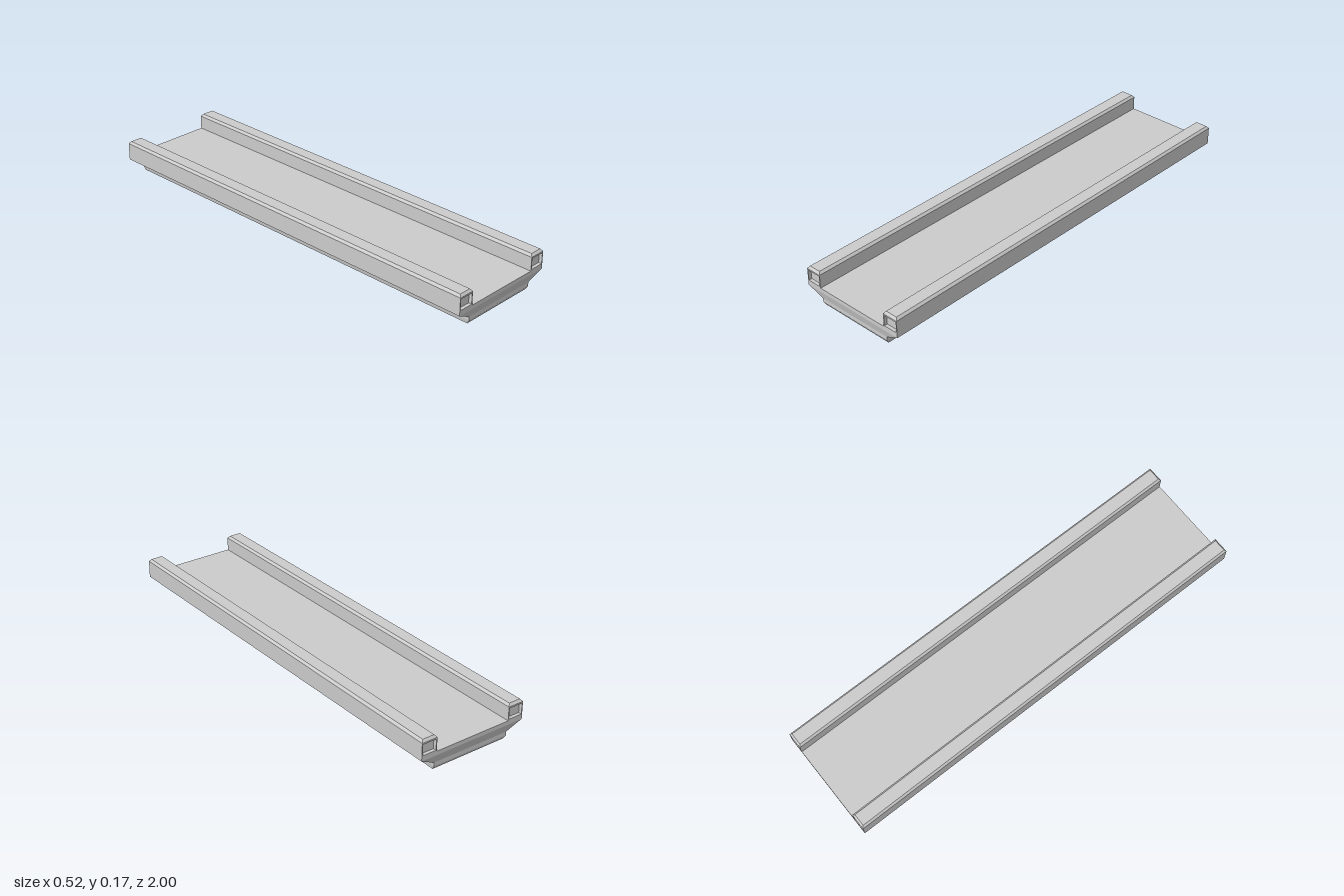
import * as THREE from 'three';

const material = new THREE.MeshStandardMaterial({ color: 0xcccccc, flatShading: true });

function add(parent, geometry, name) {
  const mesh = new THREE.Mesh(geometry, material);
  mesh.name = name;
  parent.add(mesh);
  return mesh;
}

// Solid stacked from rectangles, each given as [half width, half depth, height]
function stack(levels) {
  const rings = levels.map(([w, d, y]) => [[w, y, d], [w, y, -d], [-w, y, -d], [-w, y, d]]);
  const pos = [];
  const quad = (a, b, c, d) => pos.push(...a, ...b, ...c, ...a, ...c, ...d);
  for (let k = 0; k < rings.length - 1; k++) {
    for (let i = 0; i < 4; i++) {
      const j = (i + 1) % 4;
      quad(rings[k][i], rings[k][j], rings[k + 1][j], rings[k + 1][i]);
    }
  }
  quad(...rings[rings.length - 1]);
  quad(...[...rings[0]].reverse());
  const geometry = new THREE.BufferGeometry();
  geometry.setAttribute('position', new THREE.Float32BufferAttribute(pos, 3));
  geometry.computeVertexNormals();
  return geometry;
}

function rectangle(Type, x0, y0, x1, y1) {
  return new Type([[x0, y0], [x1, y0], [x1, y1], [x0, y1]].map(p => new THREE.Vector2(...p)));
}

export function createModel() {
  const model = new THREE.Group();
  model.name = 'bridgeSegment';

  // Deck with flared sides on a chamfered foot
  add(model, stack([
    [0.185, 0.98, 0], [0.188, 0.99, 0.017], [0.188, 0.99, 0.035],
    [0.26, 1, 0.073], [0.26, 1, 0.091],
  ]), 'deck');

  // Side rails with chamfered tops and shallow recessed ends
  const recess = 0.015;
  for (const side of [-1, 1]) {
    const rail = new THREE.Group();
    rail.name = side > 0 ? 'leftRail' : 'rightRail';
    rail.position.x = side * 0.2225;
    model.add(rail);

    add(rail, stack([[0.0375, 1 - recess, 0.091], [0.0375, 1 - recess, 0.154]]), 'railBody');
    add(rail, stack([[0.0375, 1, 0.154], [0.0285, 0.991, 0.165]]), 'railCap');

    const frame = rectangle(THREE.Shape, -0.0375, 0.091, 0.0375, 0.154);
    frame.holes.push(rectangle(THREE.Path, -0.033, 0.097, 0.033, 0.147));
    const frameGeometry = new THREE.ExtrudeGeometry(frame, { depth: recess, bevelEnabled: false });
    for (const z of [1 - recess, -1]) {
      add(rail, frameGeometry, z > 0 ? 'frontEndFrame' : 'backEndFrame').position.z = z;
    }
  }
  return model;
}
